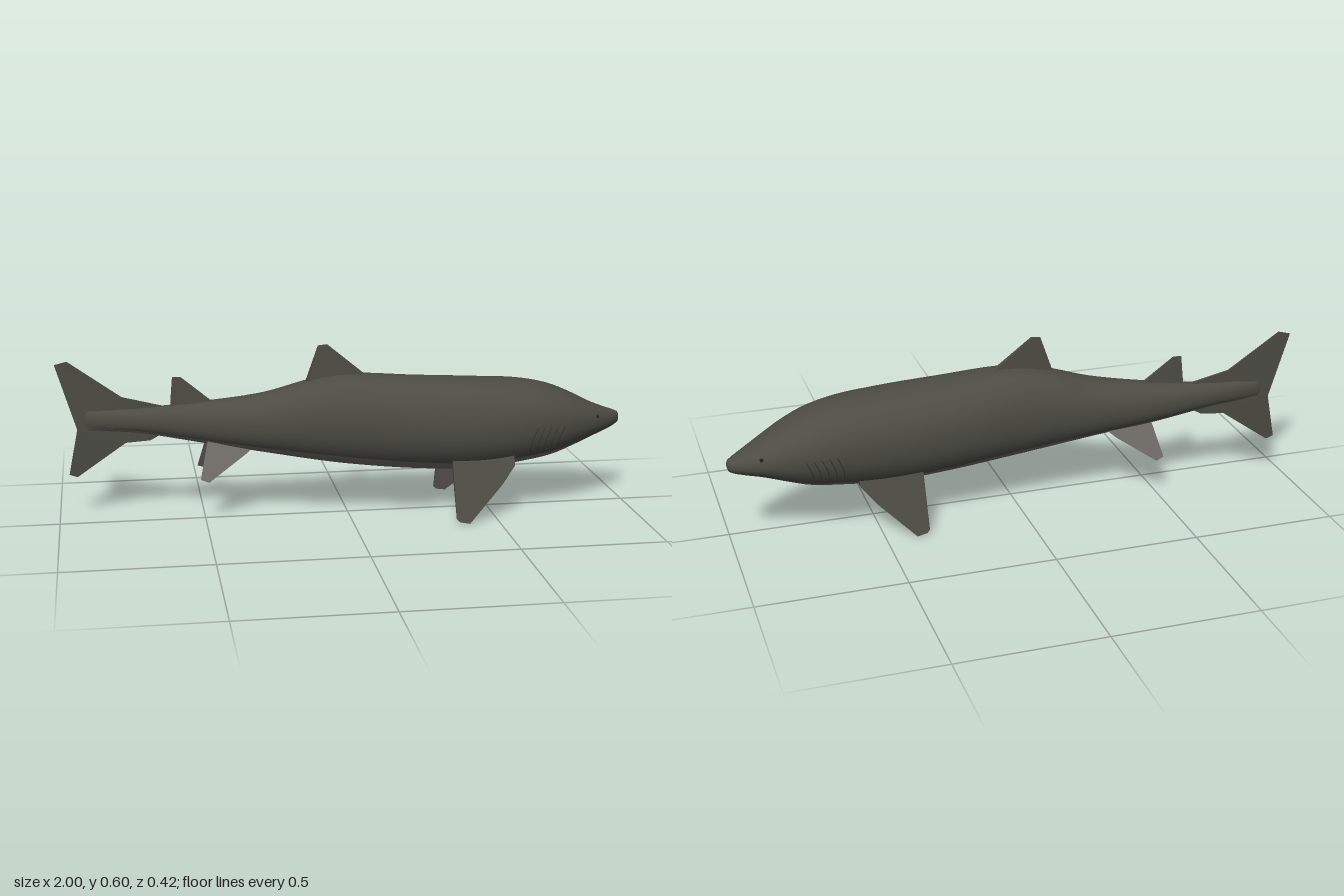
import * as THREE from 'three';

// Body stations along x: top y, bottom y, near-side z, far-side z (the body curves sideways)
const STATIONS = [
  [-0.91, 0.335, 0.335, -0.103, -0.103],
  [-0.9, 0.362, 0.312, -0.092, -0.112],
  [-0.86, 0.37, 0.303, -0.083, -0.119],
  [-0.72, 0.377, 0.29, -0.06, -0.13],
  [-0.5, 0.398, 0.253, -0.01, -0.139],
  [-0.29, 0.428, 0.221, 0.055, -0.141],
  [-0.1, 0.48, 0.19, 0.098, -0.142],
  [0, 0.492, 0.176, 0.115, -0.144],
  [0.25, 0.478, 0.152, 0.146, -0.16],
  [0.46, 0.466, 0.145, 0.155, -0.17],
  [0.62, 0.453, 0.162, 0.14, -0.173],
  [0.73, 0.428, 0.18, 0.115, -0.167],
  [0.8, 0.398, 0.204, 0.09, -0.157],
  [0.89, 0.352, 0.236, 0.04, -0.13],
  [0.95, 0.327, 0.253, -0.007, -0.11],
  [0.985, 0.313, 0.266, -0.04, -0.094],
  [0.997, 0.304, 0.277, -0.055, -0.082],
  [1, 0.291, 0.291, -0.068, -0.068],
];
const spline = new THREE.CubicInterpolant(
  STATIONS.map((s) => s[0]), STATIONS.flatMap((s) => s.slice(1)), 4, new Float32Array(4));

const rounded = (v) => Math.sign(v) * Math.abs(v) ** 0.91;

// Point on the skin: t = 0 is the belly line, PI/2 the left flank, PI the back
function skin(x, t, lift = 0) {
  const [top, bottom, near, far] = spline.evaluate(x);
  return new THREE.Vector3(
    x,
    (top + bottom) / 2 - rounded(Math.cos(t)) * ((top - bottom) / 2 + lift),
    (near + far) / 2 + rounded(Math.sin(t)) * ((near - far) / 2 + lift));
}

// Lofted body with a belly group and a back group sharing smooth normals
function bodyGeometry() {
  const rings = 80, sides = 48, bellyHalf = 6;
  const positions = [], belly = [], back = [];
  for (let j = 0; j <= rings; j++) {
    const x = 0.045 - 0.955 * Math.cos((j / rings) * Math.PI);
    for (let i = 0; i < sides; i++) {
      const p = skin(x, (i / sides) * Math.PI * 2);
      positions.push(p.x, p.y, p.z);
    }
  }
  for (let j = 0; j < rings; j++) {
    for (let i = 0; i < sides; i++) {
      const n = (i + 1) % sides;
      const a = j * sides + i, b = a + sides, c = j * sides + n, d = c + sides;
      const isBelly = i < bellyHalf || i >= sides - bellyHalf;
      (isBelly ? belly : back).push(a, b, c, b, d, c);
    }
  }
  const geo = new THREE.BufferGeometry();
  geo.setAttribute('position', new THREE.Float32BufferAttribute(positions, 3));
  geo.setIndex([...back, ...belly]);
  geo.addGroup(0, back.length, 0);
  geo.addGroup(back.length, belly.length, 1);
  geo.computeVertexNormals();
  return geo;
}

// Fin from an x/y outline; zAt places its mid-plane, thickAt tapers it.
// Groups: 0 = -z face, 1 = +z face, 2 = rim
function finGeometry(outline, zAt, thickAt) {
  const shape = new THREE.Shape(outline.map(([x, y]) => new THREE.Vector2(x, y)));
  const geo = new THREE.ExtrudeGeometry(shape, { depth: 1, bevelEnabled: false });
  const pos = geo.attributes.position;
  for (let i = 0; i < pos.count; i++) {
    const x = pos.getX(i), y = pos.getY(i);
    pos.setZ(i, zAt(x, y) + (pos.getZ(i) - 0.5) * thickAt(x, y));
  }
  const [caps, rim] = geo.groups;
  geo.clearGroups();
  geo.addGroup(0, caps.count / 2, 0);
  geo.addGroup(caps.count / 2, caps.count / 2, 1);
  geo.addGroup(rim.start, rim.count, 2);
  geo.computeVertexNormals();
  return geo;
}

// Thickness falling from the root height to the tip height
const taper = (root, tip, thick) => (x, y) =>
  THREE.MathUtils.lerp(0.002, thick, THREE.MathUtils.clamp((y - tip) / (root - tip), 0, 1));

export function createModel() {
  const model = new THREE.Group();
  const material = (name, color) => {
    const m = new THREE.MeshStandardMaterial({ color });
    m.name = name;
    return m;
  };
  const backMat = material('back grey', 0x4c4c44);
  const bellyMat = material('belly grey', 0x6e6965);
  const darkMat = material('dark', 0x22221f);
  const slitMat = material('gill slit', 0x3a3a34);

  const add = (name, geo, mat) => {
    const mesh = new THREE.Mesh(geo, mat);
    mesh.name = name;
    model.add(mesh);
    return mesh;
  };

  add('body', bodyGeometry(), [backMat, bellyMat]);

  // Fins along the back
  const plain = [backMat, backMat, backMat];
  add('dorsalFin', finGeometry(
    [[-0.14, 0.44], [0.07, 0.46], [0.065, 0.488], [-0.068, 0.598], [-0.1, 0.594], [-0.14, 0.475]],
    (x) => -0.016 + 0.06 * x, taper(0.48, 0.6, 0.02)), plain);
  add('secondDorsalFin', finGeometry(
    [[-0.605, 0.36], [-0.46, 0.37], [-0.47, 0.403], [-0.572, 0.487], [-0.6, 0.486], [-0.608, 0.395]],
    (x) => -0.077 + 0.1 * (x + 0.55), taper(0.39, 0.49, 0.014)), plain);

  // Tail fin, thickest along its middle
  add('tailFin', finGeometry(
    [[-1, 0.535], [-0.93, 0.305], [-0.963, 0.144], [-0.936, 0.134], [-0.765, 0.255],
      [-0.68, 0.262], [-0.63, 0.29], [-0.63, 0.382], [-0.775, 0.417], [-0.957, 0.546]],
    (x) => -0.1 - 0.06 * (x + 0.85) * -1 - 0.004,
    (x, y) => Math.max(0.003, 0.014 - 0.07 * Math.abs(y - 0.33))), plain);

  // Paired fins splay outward and down, slightly uneven because the body bends
  const pectoral = [[0.35, 0.225], [0.35, 0.016], [0.36, 0.006], [0.395, 0],
    [0.52, 0.12], [0.57, 0.18], [0.57, 0.225]];
  const pelvic = [[-0.48, 0.29], [-0.515, 0.145], [-0.487, 0.135], [-0.35, 0.225], [-0.32, 0.25], [-0.32, 0.29]];
  for (const side of [1, -1]) {
    const label = side > 0 ? 'left' : 'right';
    add(label + 'PectoralFin', finGeometry(pectoral,
      (x, y) => (side > 0 ? 0.115 + 0.5 * (0.19 - y) : -0.125 - 0.43 * (0.19 - y)),
      taper(0.19, 0, 0.025)),
    side > 0 ? [bellyMat, backMat, backMat] : [backMat, bellyMat, backMat]);
    add(label + 'PelvicFin', finGeometry(pelvic,
      (x, y) => -0.065 + side * (0.04 + 0.51 * (0.25 - y)),
      taper(0.25, 0.135, 0.012)), [bellyMat, bellyMat, bellyMat]);

    // Five curved gill slits per flank
    for (let g = 0; g < 5; g++) {
      const points = [];
      for (let k = 0; k <= 8; k++) {
        const u = k / 8;
        const x = 0.63 + g * 0.026 + 0.018 * u - 0.012 * Math.sin(u * Math.PI);
        points.push(skin(x, side * (0.88 + 0.72 * u)));
      }
      add(label + 'GillSlit' + (g + 1),
        new THREE.TubeGeometry(new THREE.CatmullRomCurve3(points), 16, 0.0018, 5), slitMat);
    }

    // Small eye set into the head
    const eye = add(label + 'Eye', new THREE.SphereGeometry(0.007, 12, 8), darkMat);
    eye.position.copy(skin(0.89, side * 1.98, -0.003));
  }
  return model;
}
